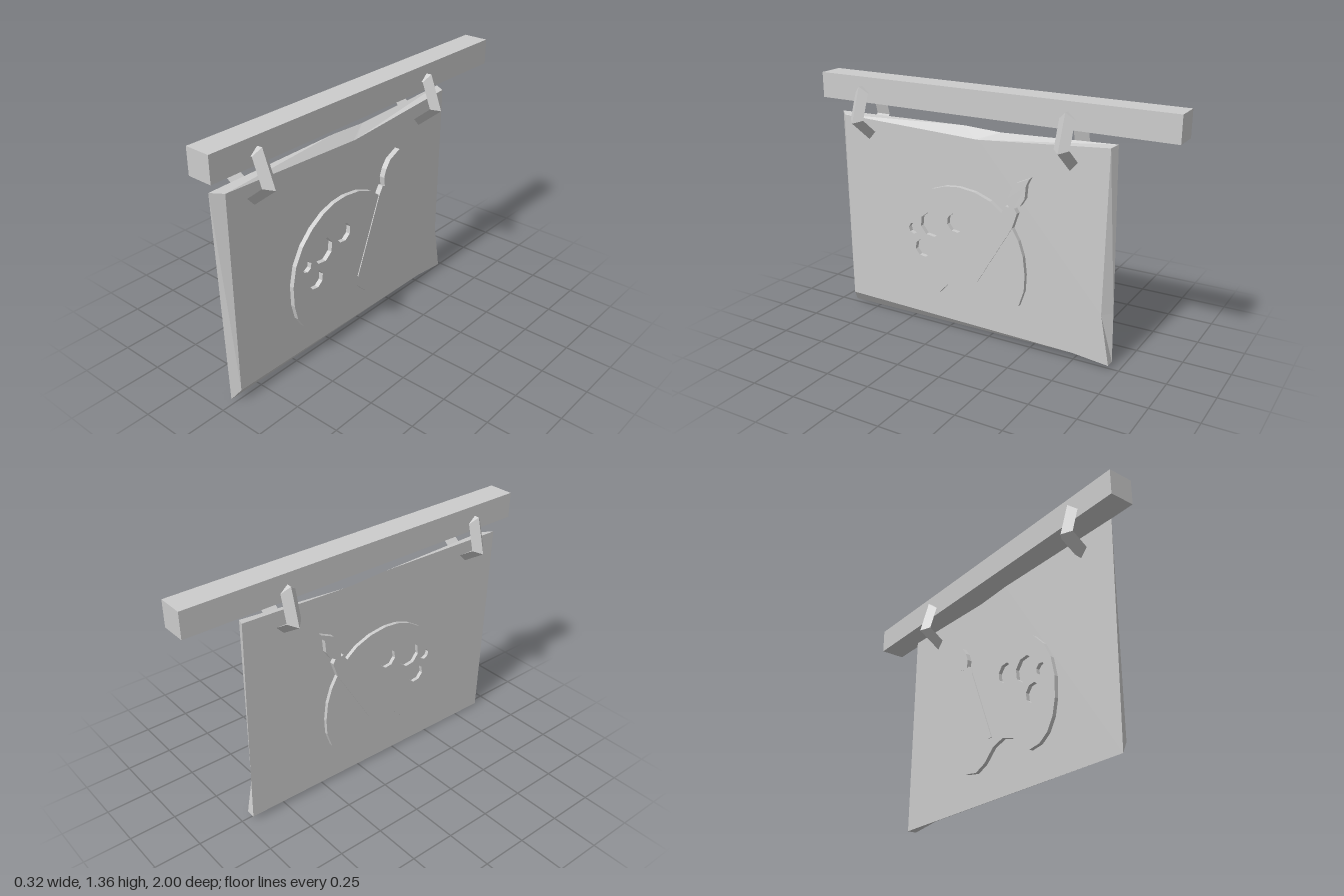
import * as THREE from 'three';

const material = new THREE.MeshStandardMaterial({ color: 0xcccccc, flatShading: true });

function part(group, name, geometry) {
  const mesh = new THREE.Mesh(geometry, material);
  mesh.name = name;
  group.add(mesh);
  return mesh;
}

const toVectors = (points) => points.map(([s, y]) => new THREE.Vector2(s, y));

// Flat slab: outline given as (-z, y), thickness running from x0 to x1
function slab(shape, x0, x1) {
  const geometry = new THREE.ExtrudeGeometry(shape, { depth: x1 - x0, bevelEnabled: false, curveSegments: 1 });
  return geometry.translate(0, 0, x0).rotateY(Math.PI / 2);
}

// Solid between two outlines with matching corners, also given as (-z, y)
function loft(back, front, x0, x1) {
  const n = back.length;
  const positions = [];
  for (const [s, y] of back) positions.push(x0, y, -s);
  for (const [s, y] of front) positions.push(x1, y, -s);
  const index = [];
  for (const [a, b, c] of THREE.ShapeUtils.triangulateShape(toVectors(back), [])) index.push(a, c, b);
  for (const [a, b, c] of THREE.ShapeUtils.triangulateShape(toVectors(front), [])) index.push(n + a, n + b, n + c);
  for (let i = 0; i < n; i++) {
    const j = (i + 1) % n;
    index.push(i, j, n + j, i, n + j, n + i);
  }
  const geometry = new THREE.BufferGeometry();
  geometry.setAttribute('position', new THREE.Float32BufferAttribute(positions, 3));
  geometry.setIndex(index);
  const flat = geometry.toNonIndexed();
  flat.computeVertexNormals();
  return flat;
}

export function createModel() {
  const group = new THREE.Group();
  group.name = 'hangingPaletteSign';

  // Square beam the sign hangs from
  part(group, 'beam', new THREE.BoxGeometry(0.137, 0.136, 2)).position.set(-0.0085, 1.292, 0);

  // Five-sided rings with a triangular section
  for (const z of [0.735, -0.455]) {
    const ring = new THREE.TorusGeometry(0.138, 0.029, 3, 5);
    ring.rotateZ(THREE.MathUtils.degToRad(-15)).scale(1, 1, 1.62);
    part(group, 'hangingRing', ring).position.set(0, 1.172, z);
  }

  // Rough-hewn board with uneven chamfered edges
  const boardBack = [
    [-0.92, 0.005], [0.5, 0.027], [0.7, 0.03], [0.695, 0.3],
    [0.677, 1.162], [0.05, 1.14], [-0.16, 1.15], [-0.945, 1.138],
  ];
  const boardFront = [
    [-0.895, 0.072], [0.5, 0.05], [0.7, 0.03], [0.65, 0.3],
    [0.66, 1.153], [-0.05, 1.1], [-0.07, 1.1], [-0.895, 1.131],
  ];
  part(group, 'board', loft(boardBack, boardFront, -0.03, 0.02));

  // Palette showing on both faces of the board
  const palette = new THREE.Shape(toVectors([
    [-0.16, 0.84], [-0.24, 0.832], [-0.32, 0.805], [-0.4, 0.755], [-0.47, 0.685], [-0.52, 0.595],
    [-0.543, 0.49], [-0.54, 0.38], [-0.52, 0.295], [-0.48, 0.23], [-0.425, 0.192], [-0.354, 0.182],
    [-0.29, 0.215], [-0.235, 0.275], [-0.155, 0.3], [-0.08, 0.277], [-0.01, 0.212], [0.06, 0.182],
    [0.14, 0.197], [0.2, 0.25], [0.23, 0.34], [0.234, 0.43], [0.222, 0.53], [0.195, 0.61],
    [0.16, 0.67], [0.097, 0.745], [0.03, 0.795], [-0.06, 0.828],
  ]));
  // Paint wells: centre, radius, sides
  const wells = [[-0.33, 0.604, 0.069, 8], [-0.178, 0.64, 0.053, 8], [-0.445, 0.562, 0.031, 7], [-0.385, 0.46, 0.051, 8]];
  for (const [s, y, r, sides] of wells) {
    const corners = [];
    for (let i = 0; i < sides; i++) {
      const a = ((i + 0.35) / sides) * Math.PI * 2;
      corners.push([s + r * Math.cos(a), y + r * Math.sin(a)]);
    }
    palette.holes.push(new THREE.Path(toVectors(corners)));
  }
  part(group, 'palette', slab(palette, -0.05, 0.045));

  // Paintbrush lying across the palette, slightly proud of it
  const brush = new THREE.Shape(toVectors([
    [-0.072, 0.33], [-0.048, 0.33], [0.16, 0.675], [0.188, 0.758], [0.172, 0.783],
    [0.204, 0.8], [0.23, 0.842], [0.236, 0.911], [0.257, 0.952], [0.182, 0.917],
    [0.15, 0.874], [0.134, 0.831], [0.14, 0.783], [0.123, 0.788], [0.097, 0.745],
  ]));
  part(group, 'paintbrush', slab(brush, -0.055, 0.05));

  return group;
}
